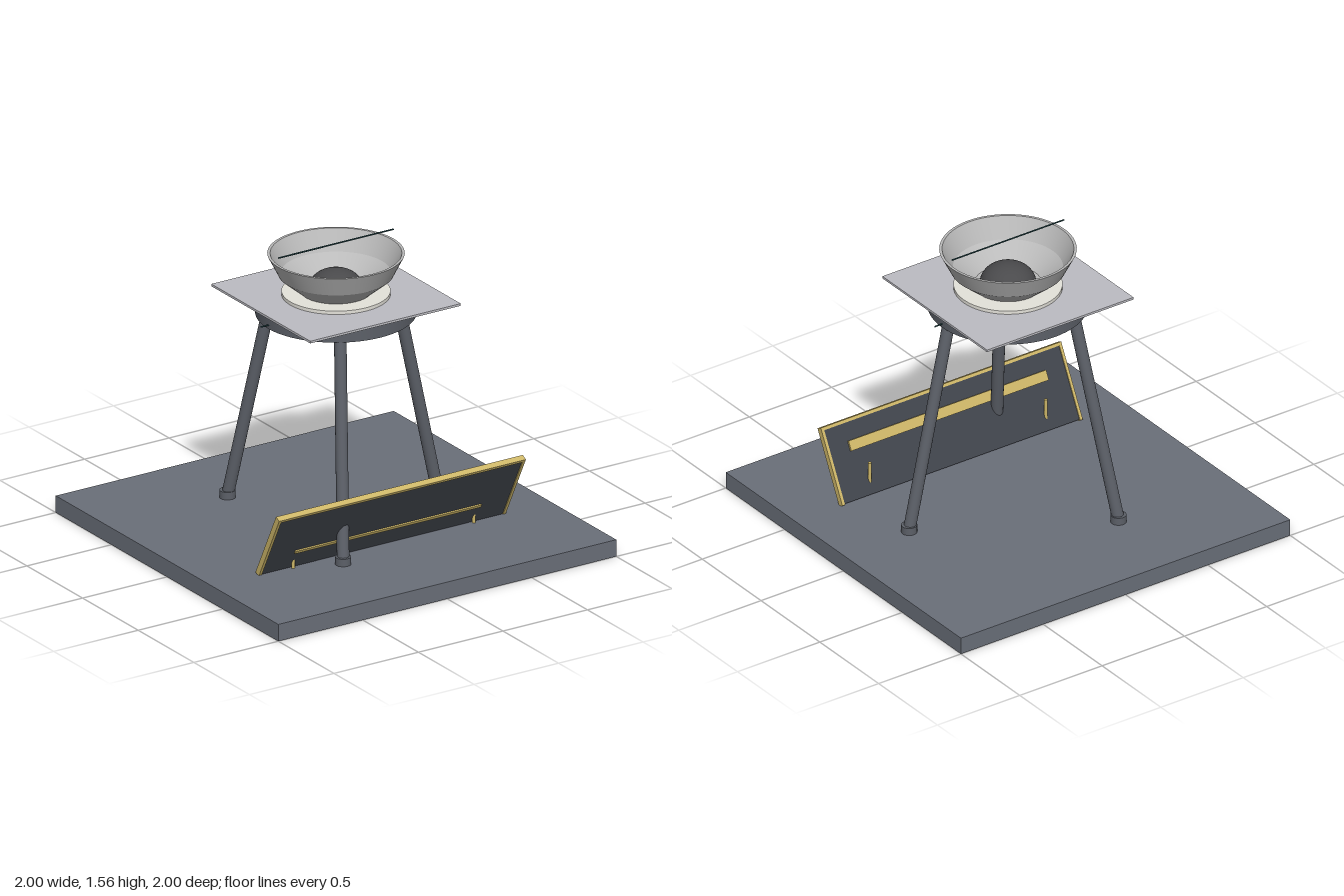
import * as THREE from 'three';
import { toCreasedNormals } from 'three/addons/utils/BufferGeometryUtils.js';

const mat = (color, side = THREE.FrontSide) =>
  new THREE.MeshStandardMaterial({ color, side });

const steel = mat(0x5c6068);
const slate = mat(0x6a6f79);
const dark = mat(0x40444c);
const gold = mat(0xcdb668);
const plateGrey = mat(0xbcbcc2);
const ceramic = mat(0xbababa, THREE.DoubleSide);
const cream = mat(0xe4e2da);
const charcoal = mat(0x4a4a4c, THREE.DoubleSide);
const teal = mat(0x24484c);

function add(parent, name, geometry, material, x = 0, y = 0, z = 0) {
  const mesh = new THREE.Mesh(geometry, material);
  mesh.name = name;
  mesh.position.set(x, y, z);
  parent.add(mesh);
  return mesh;
}

// Straight round bar between two points
function rod(parent, name, a, b, radius, material, sides = 20) {
  const dir = new THREE.Vector3().subVectors(b, a);
  const mesh = add(parent, name, new THREE.CylinderGeometry(radius, radius, dir.length(), sides), material);
  mesh.position.copy(a).add(b).multiplyScalar(0.5);
  mesh.quaternion.setFromUnitVectors(new THREE.Vector3(0, 1, 0), dir.normalize());
  return mesh;
}

// Turned part with crisp edges
function turned(points, crease = 0.4) {
  const profile = points.map(([r, y]) => new THREE.Vector2(r, y));
  return toCreasedNormals(new THREE.LatheGeometry(profile, 64), crease);
}

export function createModel() {
  const model = new THREE.Group();
  model.name = 'tripodStandWithBowl';

  // Base board
  add(model, 'base', new THREE.BoxGeometry(2, 0.09, 2), slate, 0, 0.045, 0);

  // Splayed legs with feet
  const tripod = new THREE.Group();
  tripod.name = 'tripod';
  model.add(tripod);
  for (let i = 0; i < 3; i++) {
    const a = (i * Math.PI * 2) / 3;
    const at = (r, y) => new THREE.Vector3(Math.cos(a) * r, y, Math.sin(a) * r);
    rod(tripod, 'leg', at(0.6, 0.1), at(0.355, 1.22), 0.031, steel);
    const foot = at(0.6, 0.11);
    add(tripod, 'foot', new THREE.CylinderGeometry(0.04, 0.04, 0.04, 24), steel, foot.x, foot.y, foot.z);
  }

  // Support ring
  add(tripod, 'supportRing', turned([
    [0.32, 1.19], [0.4, 1.19], [0.4, 1.275], [0.32, 1.275], [0.32, 1.19],
  ]), steel);

  // Square plate and collar carrying the bowl
  add(model, 'plate', new THREE.BoxGeometry(0.89, 0.012, 0.89), plateGrey, 0, 1.281, 0);
  add(model, 'collar', new THREE.CylinderGeometry(0.27, 0.27, 0.018, 64), cream, 0, 1.296, 0);

  // Bowl with its wall thickness
  add(model, 'bowl', turned([
    [0, 1.303], [0.175, 1.303], [0.285, 1.395], [0.34, 1.505],
    [0.326, 1.505], [0.273, 1.4], [0.165, 1.313], [0, 1.313],
  ]), ceramic);

  // Rounded mound in the bowl
  const mound = add(model, 'mound',
    new THREE.SphereGeometry(0.14, 40, 16, 0, Math.PI * 2, 0, Math.PI / 2), charcoal, 0, 1.312, 0);
  mound.scale.y = 0.75;

  // Thin cross wires above the bowl and through the ring
  for (const [name, half, y] of [['upperWire', 0.34, 1.555], ['lowerWire', 0.445, 1.21]]) {
    rod(model, name, new THREE.Vector3(-half, y, 0), new THREE.Vector3(half, y, 0), 0.004, teal, 10);
  }

  // Leaning front panel with gilt edging
  const panel = new THREE.Group();
  panel.name = 'leaningPanel';
  panel.position.set(0, 0.268, 0.491);
  panel.rotation.x = Math.atan2(0.18, 0.35);
  model.add(panel);
  add(panel, 'panelBoard', new THREE.BoxGeometry(1.44, 0.39, 0.022), dark);
  add(panel, 'topEdge', new THREE.BoxGeometry(1.46, 0.016, 0.032), gold, 0, 0.195, 0);
  for (const s of [-1, 1]) {
    add(panel, 'sideEdge', new THREE.BoxGeometry(0.016, 0.4, 0.032), gold, s * 0.722, 0, 0);
  }
  add(panel, 'frontStrip', new THREE.BoxGeometry(1.1, 0.018, 0.012), gold, 0, -0.078, 0.013);
  add(panel, 'backStrip', new THREE.BoxGeometry(1.2, 0.052, 0.012), gold, 0, 0.07, -0.016);

  // Upright props behind the panel
  for (const s of [-1, 1]) {
    add(model, 'panelProp', new THREE.CylinderGeometry(0.009, 0.009, 0.17, 14), gold, s * 0.535, 0.175, 0.427);
  }

  return model;
}
